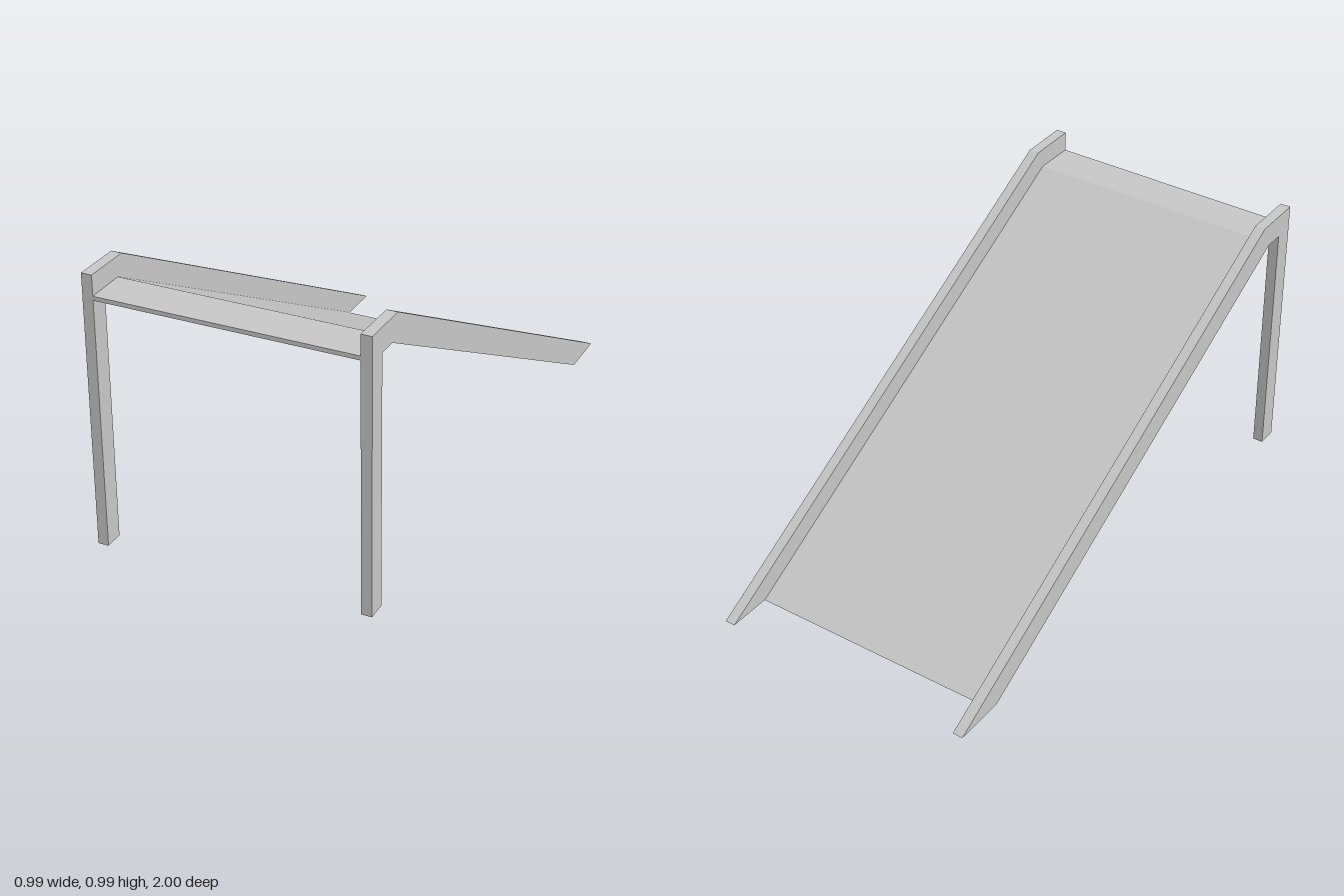
import * as THREE from 'three';

const metal = new THREE.MeshStandardMaterial({ color: 0xc6c6c6, side: THREE.DoubleSide });
metal.name = 'light grey';

// Extrudes a side profile of [z, y] points across x, leaving it open at the ground
function extrudeProfile(points, width) {
  const shape = new THREE.Shape(points.map(([z, y]) => new THREE.Vector2(z, y)));
  const solid = new THREE.ExtrudeGeometry(shape, { depth: width, bevelEnabled: false });
  solid.rotateY(-Math.PI / 2).translate(width / 2, 0, 0);
  const p = solid.attributes.position.array;
  const kept = [];
  for (let i = 0; i < p.length; i += 9) {
    const onGround = [1, 4, 7].every((k) => Math.abs(p[i + k]) < 1e-5);
    if (!onGround) kept.push(...p.slice(i, i + 9));
  }
  const geometry = new THREE.BufferGeometry();
  geometry.setAttribute('position', new THREE.Float32BufferAttribute(kept, 3));
  geometry.computeVertexNormals();
  return geometry;
}

export function createModel() {
  const group = new THREE.Group();
  group.name = 'ramp';

  // Side rails, each in one piece with its leg
  const railProfile = [
    [1, 0], [1, 0.99], [0.82, 0.987], [-1, 0], [-0.81, 0],
    [0.86, 0.902], [0.93, 0.902], [0.93, 0],
  ];
  const railGeometry = extrudeProfile(railProfile, 0.038);
  for (const side of [1, -1]) {
    const rail = new THREE.Mesh(railGeometry, metal);
    rail.name = side > 0 ? 'leftRailAndLeg' : 'rightRailAndLeg';
    rail.position.x = side * 0.476;
    group.add(rail);
  }

  // Thin deck: level platform at the top, then the slope down to the ground
  const deckProfile = [
    [1, 0.902], [1, 0.917], [0.85, 0.917], [-0.84, 0], [-0.81, 0], [0.86, 0.902],
  ];
  const deck = new THREE.Mesh(extrudeProfile(deckProfile, 0.914), metal);
  deck.name = 'deck';
  group.add(deck);

  return group;
}
